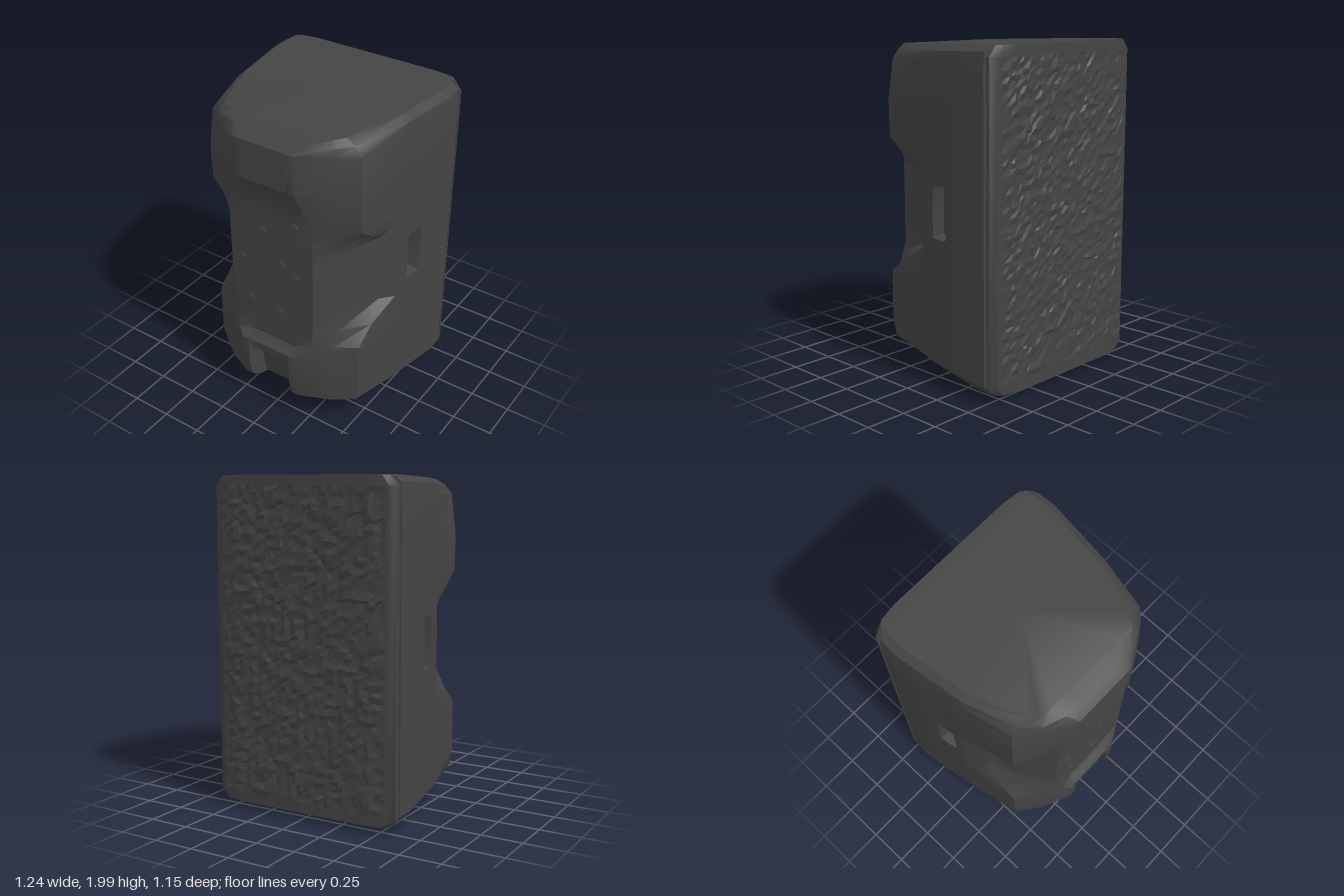
import * as THREE from 'three';
import { toCreasedNormals } from 'three/addons/utils/BufferGeometryUtils.js';

const shell = new THREE.MeshStandardMaterial({ color: 0x444444 });
shell.name = 'charcoal shell';
const rough = new THREE.MeshStandardMaterial({ color: 0x444444, flatShading: true });
rough.name = 'charcoal mesh';

// Skins a stack of mirrored half outlines; each section is { y, pts: [[x, z], ...] } from front to back.
function loft(sections, capZ, bend = (y) => y) {
  const pos = [], index = [];
  let n = 0;
  for (const { y, pts } of sections) {
    const mirrored = pts.filter(p => p[0] > 0).reverse().map(([x, z]) => [-x, z]);
    const loop = [...pts, ...mirrored];
    n = loop.length;
    for (const [x, z] of loop) pos.push(x, bend(y, z), z);
  }
  const rows = sections.length;
  for (let k = 0; k < rows - 1; k++) {
    for (let i = 0; i < n; i++) {
      const a = k * n + i, b = k * n + (i + 1) % n;
      index.push(a, b, b + n, a, b + n, a + n);
    }
  }
  // End caps as fans around a middle point
  const low = pos.length / 3, top = (rows - 1) * n;
  pos.push(0, bend(sections[0].y, capZ), capZ, 0, bend(sections[rows - 1].y, capZ), capZ);
  for (let i = 0; i < n; i++) {
    const j = (i + 1) % n;
    index.push(low, j, i, low + 1, top + i, top + j);
  }
  const g = new THREE.BufferGeometry();
  g.setAttribute('position', new THREE.Float32BufferAttribute(pos, 3));
  g.setIndex(index);
  return toCreasedNormals(g, 0.6);
}

// Cabinet outline at one height: centre depth, notch depth, three front corner points, grip slot, side inset
function cabinetSection(y, zc, zn, corner, slot = 0, inset = 0) {
  const side = (z) => 0.62 - 0.133 * (z + 0.37) - inset;
  return { y, pts: [
    [0, zn], [0.14, zn], [0.15, zc], ...corner,
    [side(0.05), 0.05], [side(-0.05), -0.05], [side(-0.05) - slot, -0.06],
    [side(-0.16) - slot, -0.16], [side(-0.17), -0.17],
    [0.62 - inset, -0.37], [0.612 - inset, -0.488], [0.595 - inset, -0.49], [0.595 - inset, -0.505],
  ] };
}

function makeCabinet() {
  const full = [[0.2, 0.57], [0.37, 0.48], [0.52, 0.38]];
  const waist = [[0.28, 0.515], [0.39, 0.455], [0.52, 0.375]];
  const fade = [[0.285, 0.515], [0.4, 0.41], [0.525, 0.25]];
  const scoop = [[0.29, 0.515], [0.41, 0.36], [0.495, 0.13]];
  const sections = [
    cabinetSection(0.045, 0.49, 0.42, [[0.2, 0.49], [0.33, 0.42], [0.42, 0.33]], 0, 0.05),
    cabinetSection(0.1, 0.55, 0.43, [[0.2, 0.55], [0.37, 0.47], [0.5, 0.37]]),
    cabinetSection(0.22, 0.575, 0.45, full),
    cabinetSection(0.36, 0.575, 0.47, full),
    cabinetSection(0.39, 0.575, 0.56, full),
    cabinetSection(0.46, 0.565, 0.565, full),
    cabinetSection(0.52, 0.515, 0.515, [[0.24, 0.545], [0.37, 0.475], [0.52, 0.38]]),
    cabinetSection(0.6, 0.515, 0.515, waist),
    cabinetSection(0.7, 0.515, 0.515, fade),
    cabinetSection(0.8, 0.515, 0.515, scoop),
    cabinetSection(0.88, 0.515, 0.515, scoop),
    cabinetSection(0.895, 0.515, 0.515, scoop, 0.08),
    cabinetSection(1.175, 0.515, 0.515, scoop, 0.08),
    cabinetSection(1.19, 0.515, 0.515, scoop),
    cabinetSection(1.25, 0.515, 0.515, scoop),
    cabinetSection(1.33, 0.515, 0.515, fade),
    cabinetSection(1.42, 0.515, 0.515, waist),
    cabinetSection(1.55, 0.515, 0.515, [[0.24, 0.54], [0.37, 0.475], [0.52, 0.38]]),
    cabinetSection(1.65, 0.575, 0.575, full),
    cabinetSection(1.88, 0.56, 0.56, [[0.2, 0.56], [0.37, 0.465], [0.5, 0.36]]),
    cabinetSection(1.93, 0.5, 0.5, [[0.24, 0.5], [0.37, 0.45], [0.46, 0.36]], 0, 0.01),
    cabinetSection(1.965, 0.42, 0.42, [[0.27, 0.42], [0.36, 0.42], [0.4, 0.36]], 0, 0.055),
  ];
  // The underside climbs toward +z and the lid falls slightly
  const bend = (y, z) => y > 1.9 ? y + 0.03 * (0.42 - z)
    : y + 0.1 * (z + 0.5) * Math.max(0, 1 - y / 0.6);
  const mesh = new THREE.Mesh(loft(sections, -0.05, bend), shell);
  mesh.name = 'cabinet';
  return mesh;
}

function makeGrilleFrame() {
  const outline = (s) => [[0, -0.504], [0.61 * s, -0.504], [0.605 * s, -0.525], [0.57 * s, -0.55], [0.45 * s, -0.565], [0, -0.565]];
  const rows = [[0.045, 0.92], [0.09, 1], [1.93, 1], [1.99, 0.92]];
  const mesh = new THREE.Mesh(loft(rows.map(([y, s]) => ({ y, pts: outline(s) })), -0.53), shell);
  mesh.name = 'grilleFrame';
  return mesh;
}

// Crumpled mesh surface over the frame
function makeGrille() {
  let seed = 7;
  const rand = () => (seed = (seed * 16807) % 2147483647) / 2147483647;
  const g = new THREE.PlaneGeometry(1.1, 1.82, 34, 54);
  g.rotateY(Math.PI);
  const p = g.attributes.position;
  for (let i = 0; i < p.count; i++) {
    const x = p.getX(i), y = p.getY(i);
    const j = Math.abs(x) > 0.54 || Math.abs(y) > 0.9 ? 0 : 1;
    const curve = Math.max(0, Math.abs(x) - 0.45) * 0.11;
    p.setXYZ(i, x + j * (rand() - 0.5) * 0.02, y + 1.02 + j * (rand() - 0.5) * 0.02,
      -0.569 + curve + j * (rand() - 0.5) * 0.016);
  }
  const mesh = new THREE.Mesh(g, rough);
  mesh.name = 'grille';
  return mesh;
}

export function createModel() {
  const model = new THREE.Group();
  model.name = 'loudspeaker';
  model.add(makeCabinet(), makeGrilleFrame(), makeGrille());

  // Feet: a narrow pair and a wide pair
  const footShape = new THREE.CylinderGeometry(0.085, 0.055, 0.11, 8);
  for (const [x, z, y] of [[0.24, 0.2, 0.07], [0.37, -0.27, 0.056]]) {
    for (const s of [-1, 1]) {
      const foot = new THREE.Mesh(footShape, rough);
      foot.name = 'foot';
      foot.position.set(s * x, y, z);
      model.add(foot);
    }
  }

  // Small controls and sockets on the recessed panel
  const knobShape = new THREE.CylinderGeometry(0.02, 0.03, 0.008, 5).rotateX(Math.PI / 2);
  for (const [x, y] of [[-0.06, 1.3], [0.17, 1.4], [-0.21, 1.06], [0.08, 1.11], [0.17, 1.06], [-0.16, 0.78], [0.05, 0.75]]) {
    const knob = new THREE.Mesh(knobShape, rough);
    knob.name = 'panelControl';
    knob.position.set(x, y, 0.516);
    model.add(knob);
  }

  // Thin ledge under the panel
  const ledge = new THREE.Mesh(new THREE.BoxGeometry(0.44, 0.02, 0.03), shell);
  ledge.name = 'panelLedge';
  ledge.position.set(0, 0.52, 0.51);
  model.add(ledge);
  return model;
}
